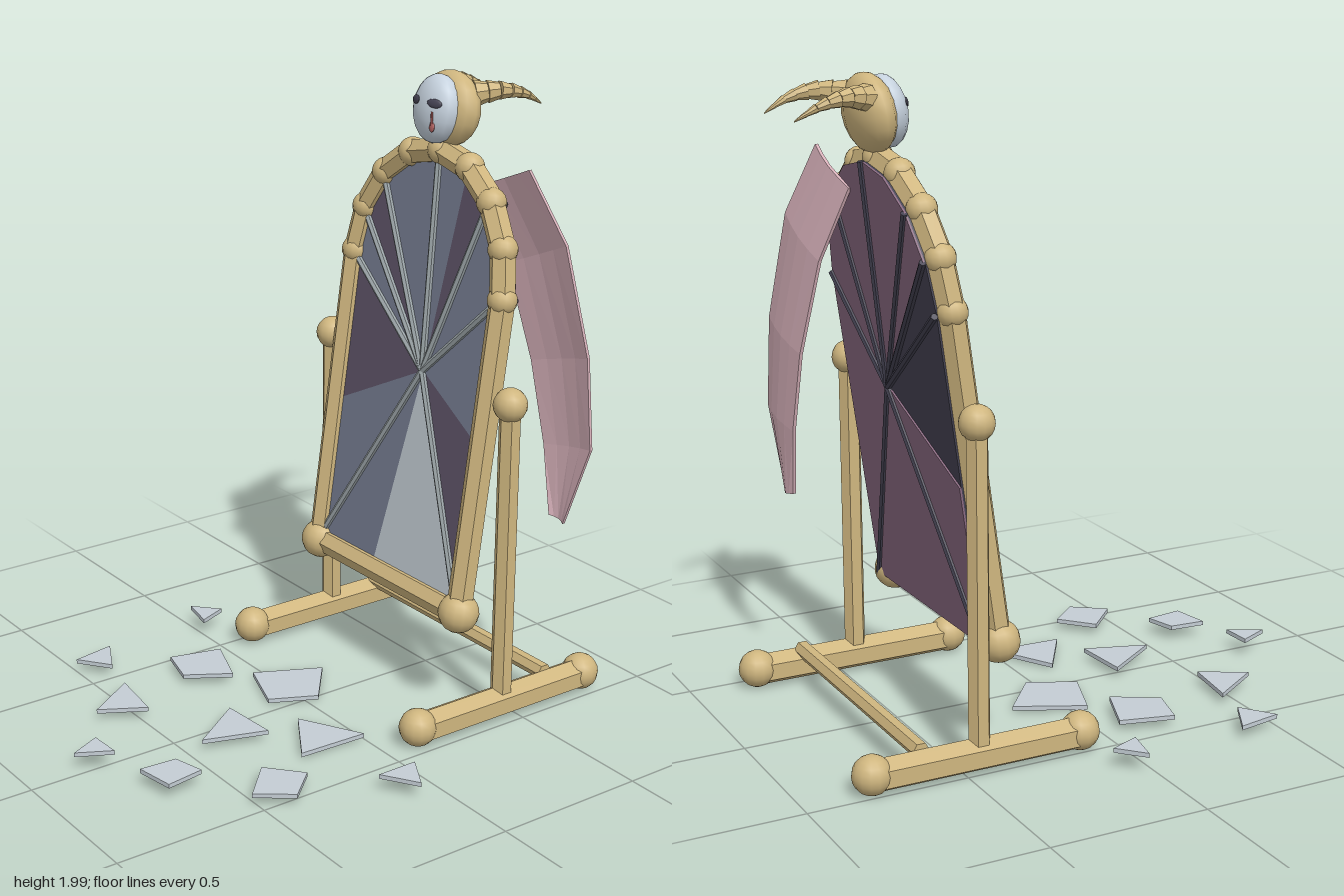
import * as THREE from 'three';

const mat = (name, color) => Object.assign(new THREE.MeshStandardMaterial({ color }), { name });
const V = (x, y, z) => new THREE.Vector3(x, y, z);

export function createModel() {
  const gold = mat('pale gold', 0xcfb67f), silver = mat('silver', 0x9ca5a8);
  const blue = mat('mirror blue', 0x767e92), plum = mat('mirror plum', 0x5f5569);
  const glass = mat('pale glass', 0xc4cdd4), backing = mat('mauve backing', 0x8b6b82);
  const dark = mat('dark slate', 0x454353), pink = mat('pink cloth', 0xd8b2bb);
  pink.side = THREE.DoubleSide;
  const white = mat('mask white', 0xc6d2de), red = mat('tear red', 0xb0605f);

  const root = new THREE.Group();
  root.name = 'brokenMirror';

  const add = (parent, name, geo, material) => {
    const m = new THREE.Mesh(geo, material);
    m.name = name;
    parent.add(m);
    return m;
  };
  const flat = (geo) => {
    const g = geo.index ? geo.toNonIndexed() : geo;
    g.computeVertexNormals();
    return g;
  };
  // faceted rod from a to b
  const rod = (parent, name, a, b, r0, r1, material, sides = 6) => {
    const dir = b.clone().sub(a);
    const m = add(parent, name, flat(new THREE.CylinderGeometry(r1, r0, dir.length(), sides)), material);
    m.position.copy(a).addScaledVector(dir, 0.5);
    m.quaternion.setFromUnitVectors(V(0, 1, 0), dir.normalize());
    return m;
  };
  // ball or ellipsoid
  const ball = (parent, name, p, rx, ry, rz, material) => {
    const m = add(parent, name, new THREE.SphereGeometry(1, 14, 10), material);
    m.position.copy(p);
    m.scale.set(rx, ry, rz);
    return m;
  };
  // flat plate in the xy plane
  const plate = (parent, name, pts, z, depth, material) => {
    const shape = new THREE.Shape(pts.map(([x, y]) => new THREE.Vector2(x, y)));
    const m = add(parent, name, new THREE.ExtrudeGeometry(shape, { depth, bevelEnabled: false }), material);
    m.position.z = z;
    return m;
  };

  // Stand
  const stand = new THREE.Group();
  stand.name = 'stand';
  stand.position.x = -0.013;
  root.add(stand);
  for (const s of [-1, 1]) {
    const x = s * 0.458;
    rod(stand, 'foot', V(x, 0.06, -0.79), V(x, 0.06, -0.115), 0.052, 0.052, gold);
    for (const z of [-0.79, -0.115]) ball(stand, 'footBall', V(x, 0.066, z), 0.06, 0.06, 0.06, gold);
    rod(stand, 'post', V(x, 0.08, -0.45), V(x, 1.05, -0.45), 0.035, 0.035, gold);
    ball(stand, 'pivotBall', V(x, 1.057, -0.45), 0.054, 0.054, 0.054, gold);
  }
  rod(stand, 'crossbar', V(-0.458, 0.105, -0.635), V(0.458, 0.105, -0.635), 0.027, 0.027, gold);

  // Tilted frame
  const tilt = -0.139;
  const frame = new THREE.Group();
  frame.name = 'tiltedFrame';
  frame.position.set(-0.015, 1.06, -0.44);
  frame.rotation.x = tilt;
  root.add(frame);
  const W = 0.37, BOT = -0.705, SPRING = 0.303;
  const arch = [];
  for (let i = 0; i <= 8; i++) {
    const a = i * Math.PI / 8;
    arch.push([W * Math.cos(a), SPRING + 0.395 * Math.sin(a)]);
  }
  const outline = [[-W, BOT], [W, BOT], ...arch];
  outline.forEach((p, i) => {
    const q = outline[(i + 1) % outline.length];
    rod(frame, 'frameBar', V(...p, 0), V(...q, 0), 0.042, 0.042, gold);
    const r = i < 2 ? 0.066 : 0.047;
    ball(frame, i < 2 ? 'cornerBall' : 'frameJoint', V(...p, 0), r, r, r, gold);
  });

  // Cracked glass: wedges around the point of impact
  const hub = [0.055, 0];
  plate(frame, 'mirrorCore', outline, -0.048, 0.048, dark);
  const rim = [[-W, BOT], [-0.076, BOT], [W, BOT], [W, -0.17], ...arch, [-W, -0.21]];
  const tones = [blue, glass, plum, blue, blue, blue, plum, blue, blue, blue, plum, blue, plum, blue];
  rim.forEach((p, i) => {
    const q = rim[(i + 1) % rim.length];
    plate(frame, 'mirrorWedge', [hub, p, q], 0, 0.006, tones[i]);
    if (i !== 11 && i !== 12) plate(frame, 'backWedge', [hub, p, q], -0.054, 0.006, backing);
  });
  for (const i of [0, 2, 4, 6, 8, 10, 11, 12]) {
    rod(frame, 'crack', V(...hub, 0.01), V(...rim[i], 0.01), 0.012, 0.012, silver);
    rod(frame, 'backCrack', V(...hub, -0.055), V(...rim[i], -0.055), 0.011, 0.011, dark);
  }

  // Masked head on top
  const crest = new THREE.Group();
  crest.name = 'crest';
  crest.position.set(-0.012, 1.88, -0.56);
  root.add(crest);
  const head = new THREE.Group();
  head.name = 'head';
  head.rotation.x = tilt;
  crest.add(head);
  ball(head, 'skull', V(0, 0, 0), 0.13, 0.119, 0.068, gold);
  ball(head, 'mask', V(0, -0.003, 0.05), 0.095, 0.108, 0.06, white);
  for (const s of [-1, 1]) {
    const eye = ball(head, 'eye', V(s * 0.045, 0.018, 0.1), 0.027, 0.014, 0.006, dark);
    eye.rotation.set(-0.1, s * 0.35, 0);
  }
  rod(head, 'tearTrail', V(0.041, -0.008, 0.102), V(0.041, -0.05, 0.097), 0.004, 0.005, red);
  ball(head, 'tear', V(0.041, -0.055, 0.095), 0.011, 0.016, 0.006, red);

  // Ringed horns
  for (const s of [-1, 1]) {
    const path = new THREE.CatmullRomCurve3([
      V(s * 0.072, 0.052, -0.04), V(s * 0.112, 0.06, -0.12), V(s * 0.124, 0.042, -0.2), V(s * 0.115, 0.002, -0.275)]);
    const n = 7, radius = (t) => 0.036 * (1 - t) + 0.002;
    for (let i = 0; i < n; i++) {
      const t = i / n, u = (i + 1) / n;
      rod(crest, 'hornRing', path.getPoint(t), path.getPoint(u), radius(t) * 1.1, radius(u) * 0.95, gold, 8);
    }
  }

  // Draped cloth: rows of [left x, left y, right x, right y, z]
  const rows = [[0.10, 1.65, 0.353, 1.75, -0.572], [0.20, 1.42, 0.465, 1.53, -0.632], [0.29, 1.12, 0.545, 1.19, -0.665],
    [0.36, 0.86, 0.572, 0.9, -0.668], [0.415, 0.64, 0.48, 0.63, -0.652]];
  const COLS = 4, pos = [], idx = [];
  const layer = rows.length * (COLS + 1);
  for (const off of [0, -0.01]) for (const [lx, ly, rx, ry, z] of rows) for (let c = 0; c <= COLS; c++) {
    const t = c / COLS;
    pos.push(lx + (rx - lx) * t, ly + (ry - ly) * t, z + off - 0.012 * Math.sin(Math.PI * t));
  }
  const quad = (a, b, c, d) => idx.push(a, b, c, a, c, d);
  const at = (r, c, l) => l * layer + r * (COLS + 1) + c;
  for (let r = 0; r < rows.length - 1; r++) {
    for (let c = 0; c < COLS; c++) {
      quad(at(r, c, 0), at(r + 1, c, 0), at(r + 1, c + 1, 0), at(r, c + 1, 0));
      quad(at(r, c, 1), at(r, c + 1, 1), at(r + 1, c + 1, 1), at(r + 1, c, 1));
    }
    quad(at(r, 0, 1), at(r + 1, 0, 1), at(r + 1, 0, 0), at(r, 0, 0));
    quad(at(r, COLS, 0), at(r + 1, COLS, 0), at(r + 1, COLS, 1), at(r, COLS, 1));
  }
  const last = rows.length - 1;
  for (let c = 0; c < COLS; c++) {
    quad(at(0, c, 1), at(0, c, 0), at(0, c + 1, 0), at(0, c + 1, 1));
    quad(at(last, c, 0), at(last, c, 1), at(last, c + 1, 1), at(last, c + 1, 0));
  }
  const cloth = new THREE.BufferGeometry();
  cloth.setAttribute('position', new THREE.Float32BufferAttribute(pos, 3));
  cloth.setIndex(idx);
  add(root, 'cloth', flat(cloth), pink);

  // Fallen shards: height, then corners as [x, z]
  const shards = [
    [0.053, [-0.716, -0.02], [-0.635, -0.094], [-0.595, 0.004]],
    [0.01, [-0.13, -0.165], [0.027, -0.036], [-0.045, 0.112], [-0.233, 0.045]],
    [0.027, [-0.416, 0.054], [-0.237, 0.121], [-0.322, 0.26], [-0.46, 0.224]],
    [0.012, [0.121, 0.112], [0.322, 0], [0.313, 0.233]],
    [0.047, [0.604, 0.022], [0.716, 0.085], [0.604, 0.157]],
    [0.028, [-0.04, 0.264], [0.157, 0.25], [0.09, 0.452]],
    [0.034, [-0.64, 0.353], [-0.51, 0.42], [-0.613, 0.497]],
    [0.028, [-0.385, 0.447], [-0.192, 0.474], [-0.273, 0.617]],
    [0.028, [0.443, 0.304], [0.532, 0.403], [0.452, 0.51], [0.336, 0.398]],
    [0.043, [0.166, 0.595], [0.268, 0.568], [0.286, 0.694], [0.157, 0.716]],
    [0.053, [-0.076, 0.734], [0.031, 0.729], [-0.027, 0.837]]];
  for (const [y, ...pts] of shards) {
    const m = plate(root, 'shard', pts.map(([x, z]) => [x, -z]), 0, 0.014, glass);
    m.rotation.x = -Math.PI / 2;
    m.position.y = y;
  }
  return root;
}
